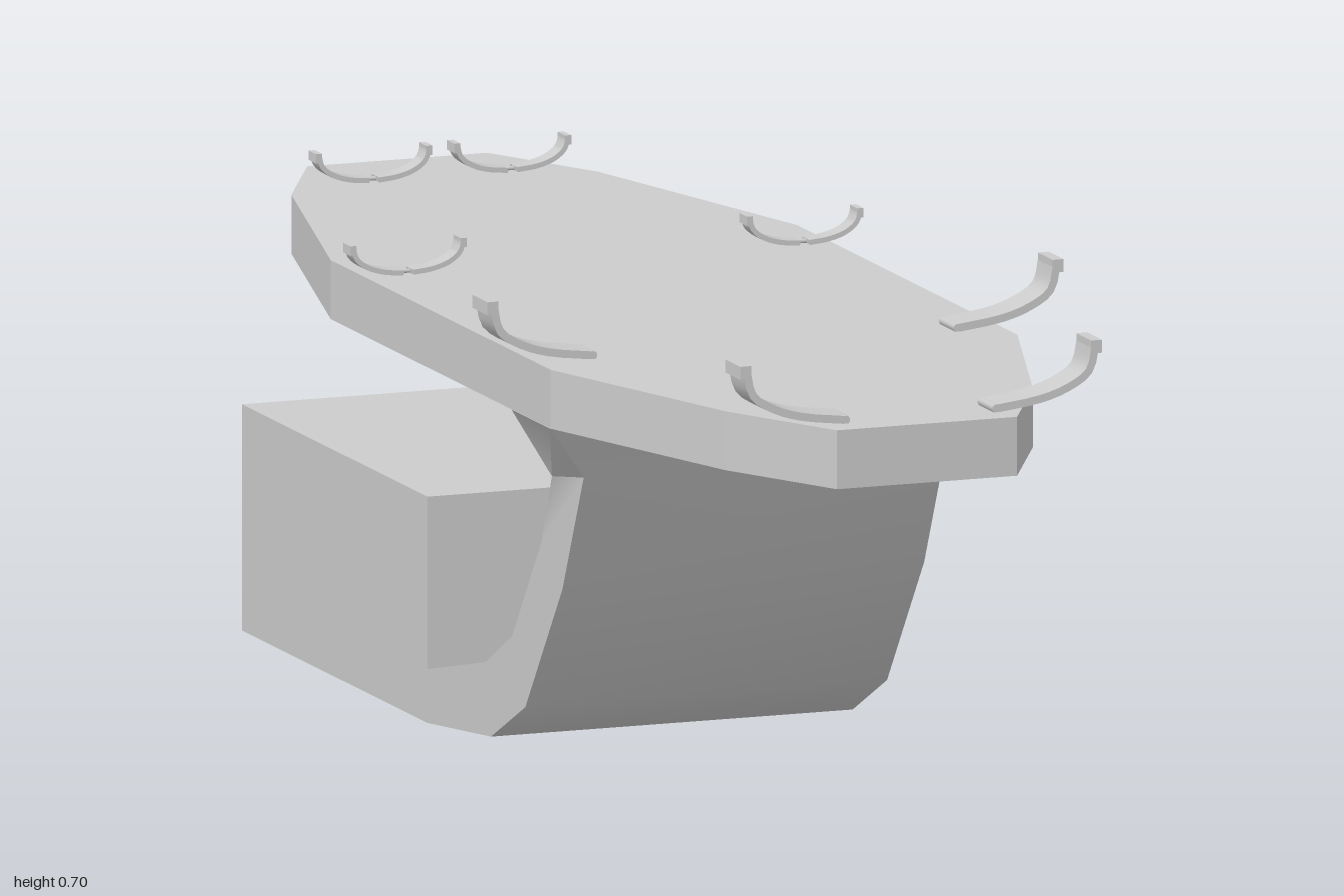
import * as THREE from 'three';
import { toCreasedNormals } from 'three/addons/utils/BufferGeometryUtils.js';

const material = new THREE.MeshStandardMaterial({ color: 0xcccccc });
const XL = -0.285, XR = 0.245; // sides of the base

function add(parent, name, geometry, x = 0, y = 0, z = 0) {
  const mesh = new THREE.Mesh(geometry, material);
  mesh.name = name;
  mesh.position.set(x, y, z);
  parent.add(mesh);
  return mesh;
}

function boxBetween(parent, name, x0, x1, y0, y1, z0, z1) {
  return add(parent, name, new THREE.BoxGeometry(x1 - x0, y1 - y0, z1 - z0),
    (x0 + x1) / 2, (y0 + y1) / 2, (z0 + z1) / 2);
}

const polygon = pts => new THREE.Shape(pts.map(p => new THREE.Vector2(...p)));

// Curved strip of given thickness, drawn in xy and extruded to a width in z
function stripGeometry(points, thickness, width) {
  const curve = new THREE.CatmullRomCurve3(points.map(p => new THREE.Vector3(p[0], p[1], 0)));
  const a = [], b = [], n = 12;
  for (let i = 0; i <= n; i++) {
    const p = curve.getPoint(i / n), t = curve.getTangent(i / n);
    const h = thickness / 2;
    a.push([p.x - t.y * h, p.y + t.x * h]);
    b.unshift([p.x + t.y * h, p.y - t.x * h]);
  }
  const g = new THREE.ExtrudeGeometry(polygon([...a, ...b]), { depth: width, bevelEnabled: false });
  g.translate(0, 0, -width / 2);
  return toCreasedNormals(g, 0.6);
}

// Curved support: rectangular cross-sections swept from the cabinet up to the top
function supportGeometry() {
  // outer z, outer y, inner z, inner y, left x, right x
  const sections = [
    [-0.17, 0, -0.17, 0.075, XL, XR],
    [0.07, 0.025, 0.05, 0.125, XL, XR],
    [0.20, 0.09, 0.15, 0.18, XL, XR],
    [0.34, 0.28, 0.26, 0.33, XL, XR],
    [0.42, 0.45, 0.30, 0.43, XL, XR],
    [0.46, 0.53, 0.315, 0.53, -0.35, 0.335],
  ];
  const pos = [], index = [];
  for (const [zo, yo, zi, yi, l, r] of sections)
    pos.push(l, yo, zo, r, yo, zo, r, yi, zi, l, yi, zi);
  for (let s = 0; s < sections.length - 1; s++)
    for (let k = 0; k < 4; k++) {
      const a = s * 4 + k, b = s * 4 + (k + 1) % 4;
      index.push(a, b, b + 4, a, b + 4, a + 4);
    }
  const e = (sections.length - 1) * 4;
  index.push(0, 2, 1, 0, 3, 2, e, e + 1, e + 2, e, e + 2, e + 3);
  const g = new THREE.BufferGeometry();
  g.setAttribute('position', new THREE.Float32BufferAttribute(pos, 3));
  g.setIndex(index);
  return toCreasedNormals(g, 0.65);
}

export function createModel() {
  const model = new THREE.Group();
  model.name = 'table';

  // Faceted long table top
  const half = [[0.132, 1], [0.225, 0.82], [0.342, 0.46], [0.342, -0.37], [0.225, -0.82], [0.132, -1]];
  const outline = [...half, ...half.map(([x, z]) => [-x, z]).reverse()];
  const top = new THREE.ExtrudeGeometry(polygon(outline.map(([x, z]) => [x - 0.007, -z])),
    { depth: 0.082, bevelEnabled: false });
  top.rotateX(-Math.PI / 2);
  add(model, 'tableTop', top, 0, 0.53, 0);

  add(model, 'curvedSupport', supportGeometry());

  // Cabinet core with a pierced face plate on the drawer side
  const cabinet = new THREE.Group();
  cabinet.name = 'cabinet';
  model.add(cabinet);
  const depth = 0.018;
  boxBetween(cabinet, 'cabinetBody', XL, XR - depth, 0, 0.315, -0.87, -0.17);
  const drawers = [[-0.505, -0.195], [-0.845, -0.56]];
  const y0 = 0.1, y1 = 0.292;
  const plate = polygon([[0.17, 0], [0.87, 0], [0.87, 0.315], [0.17, 0.315]]);
  for (const [z0, z1] of drawers)
    plate.holes.push(new THREE.Path([[-z0, y0], [-z0, y1], [-z1, y1], [-z1, y0]]
      .map(p => new THREE.Vector2(...p))));
  const plateGeometry = new THREE.ExtrudeGeometry(plate, { depth, bevelEnabled: false });
  plateGeometry.rotateY(Math.PI / 2);
  add(cabinet, 'drawerFrame', plateGeometry, XR - depth, 0, 0);

  // Recessed drawer fronts and bar handles
  drawers.forEach(([z0, z1], i) => {
    const gap = 0.01;
    boxBetween(cabinet, 'drawerFront', XR - depth, XR - 0.009, y0 + gap, y1 - gap, z0 + gap, z1 - gap);
    const zc = i ? -0.697 : -0.352, x = XR - 0.012, out = 0.281;
    const path = new THREE.CurvePath();
    const pts = [[x, -0.058], [out, -0.05], [out, 0.05], [x, 0.058]]
      .map(([px, pz]) => new THREE.Vector3(px, 0.195, zc + pz));
    for (let k = 0; k < 3; k++) path.add(new THREE.LineCurve3(pts[k], pts[k + 1]));
    add(cabinet, 'drawerHandle', new THREE.TubeGeometry(path, 24, 0.004, 6, false));
  });

  // Large one-ended clips near the front, mirrored left and right
  const hook = stripGeometry([[0, 0.617], [0.065, 0.626], [0.105, 0.639], [0.136, 0.66], [0.146, 0.70]], 0.011, 0.056);
  const pin = new THREE.CylinderGeometry(0.006, 0.006, 0.056, 10).rotateX(Math.PI / 2);
  for (const [x, z] of [[0.11, 0.932], [0.267, 0.382]])
    for (const side of [1, -1]) {
      const clip = new THREE.Group();
      clip.name = 'largeClip';
      add(clip, 'clipArm', hook);
      add(clip, 'clipLip', new THREE.BoxGeometry(0.016, 0.018, 0.056), 0.147, 0.693, 0);
      add(clip, 'clipPin', pin, 0, 0.617, 0);
      if (side < 0) clip.rotation.y = Math.PI;
      clip.position.set(x * side, 0, z);
      model.add(clip);
    }

  // Small U-shaped clips towards the back: two arms joined by a thin rod
  const arm = stripGeometry([[0.007, 0.626], [0.035, 0.629], [0.06, 0.637], [0.076, 0.65], [0.081, 0.667]], 0.007, 0.028);
  const rod = new THREE.CylinderGeometry(0.003, 0.003, 0.02, 8).rotateZ(Math.PI / 2);
  for (const [x, z] of [[-0.307, -0.198], [0.274, -0.198], [-0.115, -0.822], [0.088, -0.822]]) {
    const clip = new THREE.Group();
    clip.name = 'smallClip';
    for (const turn of [0, Math.PI]) {
      const half = new THREE.Group();
      half.name = 'clipHalf';
      add(half, 'clipArm', arm);
      add(half, 'clipLip', new THREE.BoxGeometry(0.009, 0.013, 0.028), 0.081, 0.662, 0);
      half.rotation.y = turn;
      clip.add(half);
    }
    add(clip, 'clipRod', rod, 0, 0.626, 0);
    clip.position.set(x, 0, z);
    model.add(clip);
  }
  return model;
}
